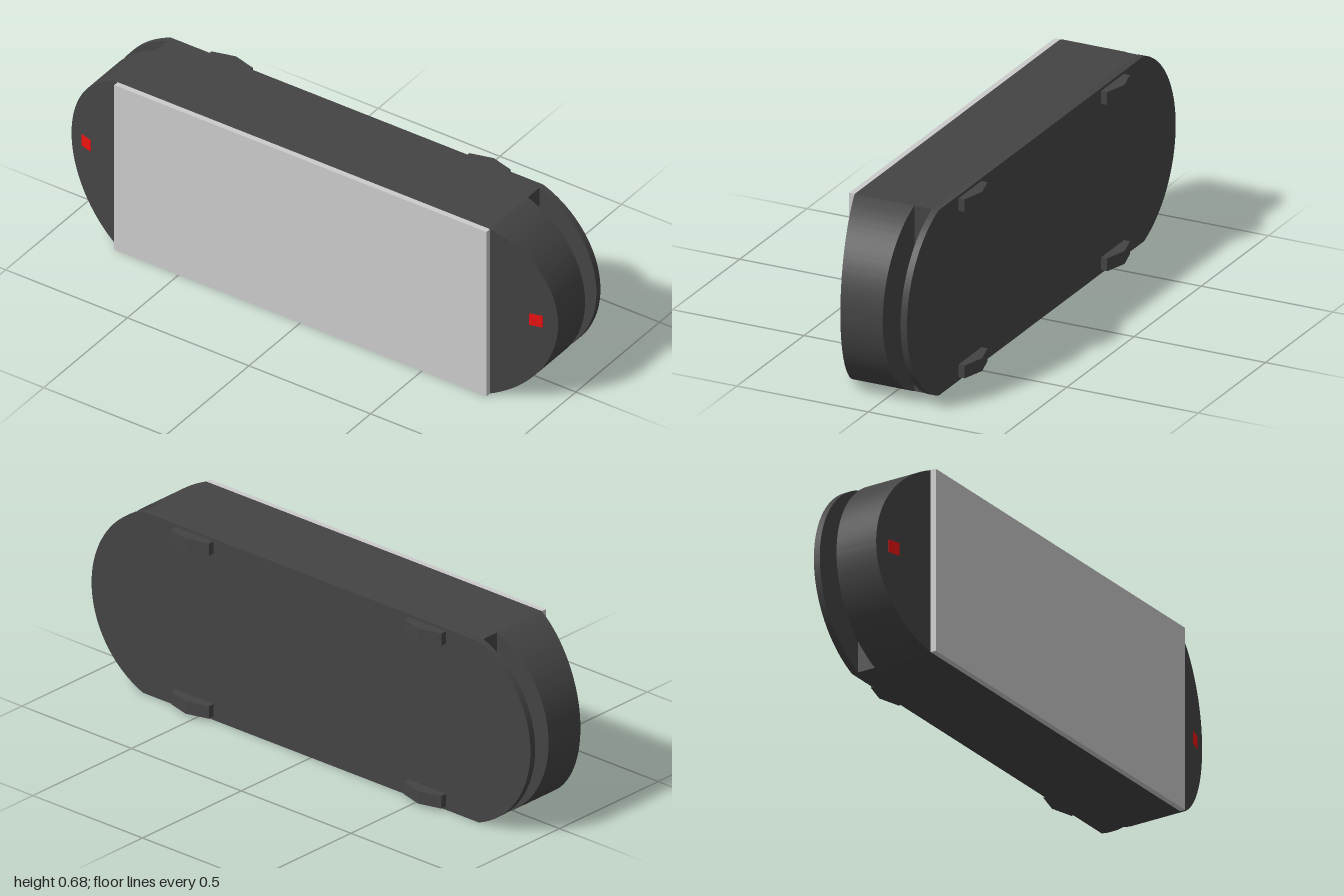
import * as THREE from 'three';
import { toCreasedNormals } from 'three/addons/utils/BufferGeometryUtils.js';

const HALF_H = 0.34;                 // half the body height
const FLAT_X = 0.765;                // where the straight sides end
const ARC_X = 0.6365, ARC_R = 0.3635; // centre and radius of the rounded ends
const ARC_A = Math.asin(HALF_H / ARC_R);
const SLOPE = 0.28;                  // setback of the front of the ends per unit x

const dark = new THREE.MeshStandardMaterial({ color: 0x444444 });
const grey = new THREE.MeshStandardMaterial({ color: 0xcccccc });
const red = new THREE.MeshStandardMaterial({ color: 0xee1212 });

const frontZ = (x) => 0.172 - (x - FLAT_X) * SLOPE;

function part(name, geometry, material, parent, x = 0, y = 0, z = 0) {
  const mesh = new THREE.Mesh(geometry, material);
  mesh.name = name;
  mesh.position.set(x, y, z);
  parent.add(mesh);
  return mesh;
}

function extrude(shape, depth) {
  return new THREE.ExtrudeGeometry(shape, { depth, bevelEnabled: false, curveSegments: 48 });
}

export function createModel() {
  const model = new THREE.Group();
  model.name = 'wallUnit';
  const body = new THREE.Group();
  body.name = 'body';
  body.position.y = HALF_H;
  model.add(body);

  // Central block and the pale panel on its front
  part('core', new THREE.BoxGeometry(FLAT_X * 2, HALF_H * 2, 0.295), dark, body, 0, 0, 0.0245);
  part('frontPanel', new THREE.BoxGeometry(FLAT_X * 2, HALF_H * 2, 0.021), grey, body, 0, 0, 0.1825);

  // Thin back plate with rounded ends
  const plate = new THREE.Shape();
  plate.absarc(ARC_X, 0, ARC_R, -ARC_A, ARC_A, false);
  plate.absarc(-ARC_X, 0, ARC_R, Math.PI - ARC_A, Math.PI + ARC_A, false);
  plate.closePath();
  part('backPlate', toCreasedNormals(extrude(plate, 0.024), 0.5), dark, body, 0, 0, -0.147);

  // Rounded end, its front raked back towards the tip
  const segment = new THREE.Shape();
  segment.absarc(ARC_X, 0, ARC_R, -ARC_A, ARC_A, false);
  segment.closePath();
  let endGeometry = extrude(segment, 0.2);
  endGeometry.translate(0, 0, -0.055);
  const p = endGeometry.attributes.position;
  for (let i = 0; i < p.count; i++) {
    if (p.getZ(i) > 0) p.setZ(i, frontZ(p.getX(i)));
  }
  endGeometry = toCreasedNormals(endGeometry, 0.5);

  // Both ends, each with a red indicator lying on the raked face
  for (const side of ['left', 'right']) {
    const end = new THREE.Group();
    end.name = side + 'End';
    end.rotation.z = side === 'left' ? 0 : Math.PI;
    body.add(end);
    part(side + 'EndCap', endGeometry, dark, end);
    const light = part(side + 'Indicator', new THREE.BoxGeometry(0.048, 0.047, 0.003), red, end, 0.924, 0, frontZ(0.924));
    light.rotation.y = Math.atan(SLOPE);
  }

  // Four ridged mounting pads on the back
  const pad = new THREE.Shape([
    [-0.085, 0.147], [0.085, 0.147], [0.085, 0.17], [0, 0.193], [-0.085, 0.17],
  ].map(([x, y]) => new THREE.Vector2(x, y)));
  const padGeometry = extrude(pad, 0.047);
  padGeometry.translate(0, 0, -0.0235);
  padGeometry.rotateX(-Math.PI / 2);
  for (const x of [-0.53, 0.53]) {
    for (const y of [-0.304, 0.306]) part('mountingPad', padGeometry, dark, body, x, y, 0);
  }

  return model;
}
